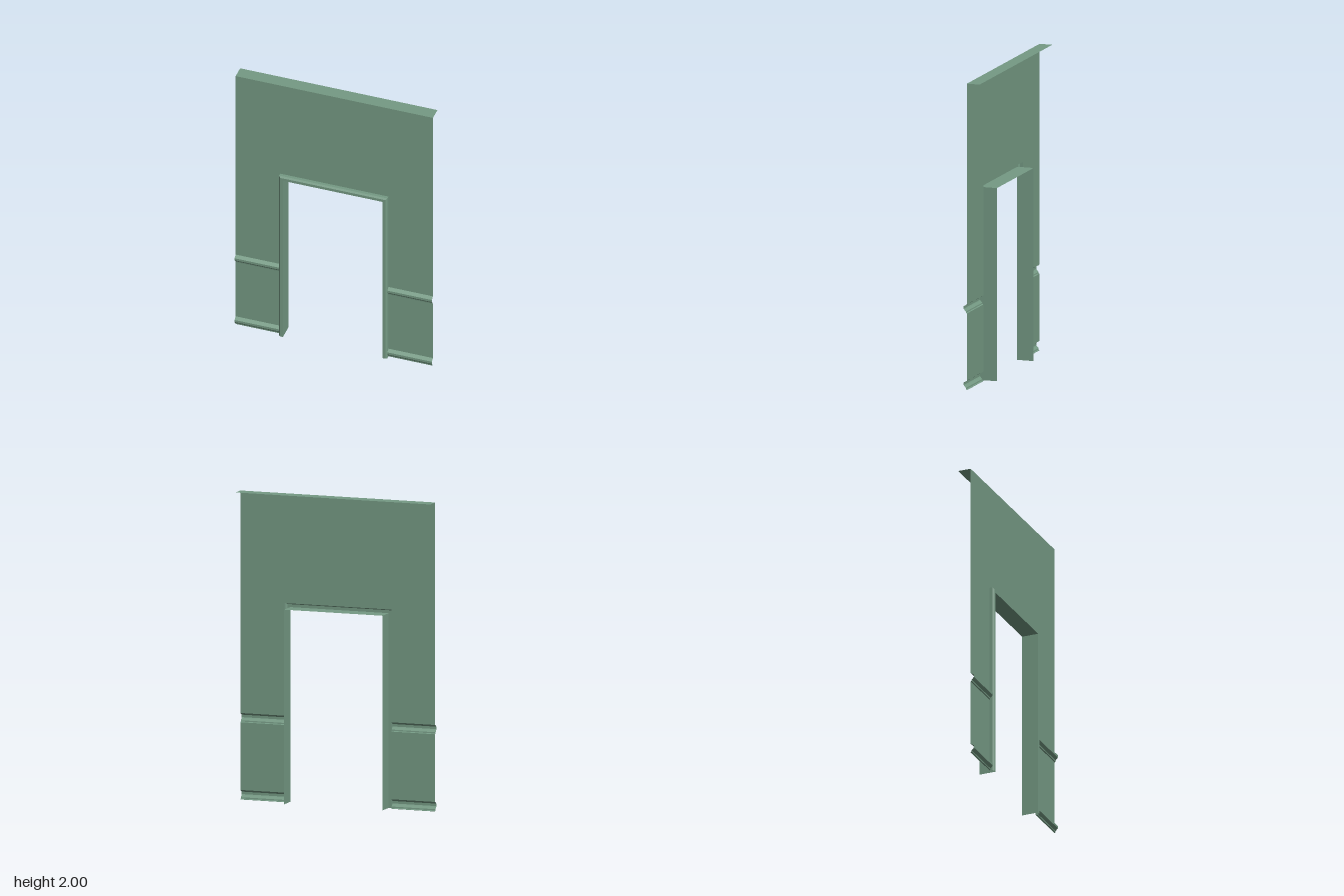
import * as THREE from 'three';

const material = new THREE.MeshStandardMaterial({ color: 0x759a84, side: THREE.DoubleSide, flatShading: true });

// Faceted sheet through a list of cross-sections with equal point counts
function sheet(name, sections) {
  const pos = [];
  for (let i = 0; i < sections.length - 1; i++) {
    const a = sections[i], b = sections[i + 1];
    for (let j = 0; j < a.length - 1; j++) {
      pos.push(...a[j], ...b[j], ...b[j + 1], ...a[j], ...b[j + 1], ...a[j + 1]);
    }
  }
  const geometry = new THREE.BufferGeometry();
  geometry.setAttribute('position', new THREE.Float32BufferAttribute(pos, 3));
  geometry.computeVertexNormals();
  const mesh = new THREE.Mesh(geometry, material);
  mesh.name = name;
  return mesh;
}

// Sheet made by running a [y, z] profile between two x positions
const run = (name, x0, x1, profile) =>
  sheet(name, [x1, x0].map(x => profile.map(([y, z]) => [x, y, z])));

export function createModel() {
  const group = new THREE.Group();
  group.name = 'doorwayWall';

  const W = 0.667, H = 2, wallZ = 0.028, backZ = -0.059;
  const doorX = 0.337, doorY = 1.26, trim = 0.029;
  const outerX = doorX + trim, outerY = doorY + trim;

  // Moulding profile, bottom to top, pressed out of the wall sheet
  const moulding = y => [
    [y, wallZ], [y + 0.004, 0.034], [y + 0.012, 0.035], [y + 0.024, 0.046],
    [y + 0.03, 0.05], [y + 0.046, 0.05], [y + 0.06, wallZ],
  ];

  // Wall beside the door: skirting, panel, chair rail and upper wall
  const base = moulding(0.002), rail = moulding(0.5);
  for (const [side, x0, x1] of [['left', outerX, W], ['right', -W, -outerX]]) {
    group.add(run(side + 'Skirting', x0, x1, [[0, wallZ], ...base]));
    group.add(run(side + 'LowerPanel', x0, x1, [base.at(-1), rail[0]]));
    group.add(run(side + 'ChairRail', x0, x1, rail));
    group.add(run(side + 'UpperWall', x0, x1, [rail.at(-1), [H, wallZ]]));
  }

  // Wall over the door and the ledge along the top
  group.add(run('wallOverDoor', -outerX, outerX, [[outerY, wallZ], [H, wallZ]]));
  group.add(run('topLedge', -W, W, [[H, wallZ], [H, backZ]]));

  // [offset outward from opening, z] profiles, mitred around the doorway
  const aroundDoor = (name, profile) => sheet(name, [
    profile.map(([o, z]) => [doorX + o, 0, z]),
    profile.map(([o, z]) => [doorX + o, doorY + o, z]),
    profile.map(([o, z]) => [-doorX - o, doorY + o, z]),
    profile.map(([o, z]) => [-doorX - o, 0, z]),
  ]);
  group.add(aroundDoor('doorTrim', [[trim, wallZ], [trim, 0.049], [trim - 0.01, 0.058], [0, 0.058]]));
  group.add(aroundDoor('doorJamb', [[0, 0.058], [0, -0.054]]));

  return group;
}
